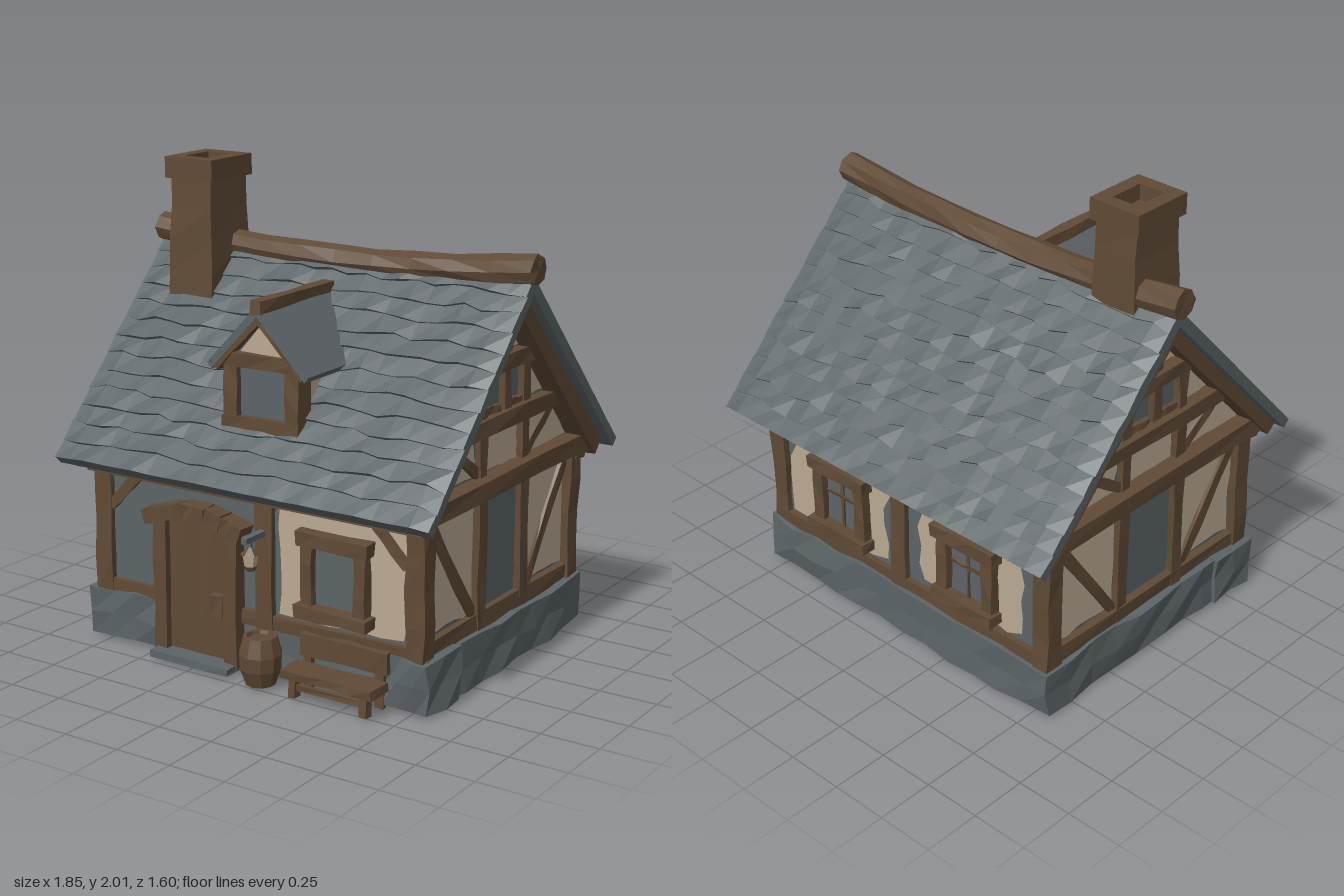
import * as THREE from 'three';

const mat = (name, color) => {
  const m = new THREE.MeshStandardMaterial({ color, flatShading: true });
  m.name = name;
  return m;
};

export function createModel() {
  const stone = mat('slate grey', 0x5c6467);
  const wood = mat('timber brown', 0x604a36);
  const plaster = mat('cream plaster', 0xbcaa94);
  plaster.side = THREE.DoubleSide;

  let seed = 7;
  const rnd = () => (seed = (seed * 16807) % 2147483647) / 2147483647;
  const jit = (a) => (rnd() * 2 - 1) * a;

  const root = new THREE.Group();
  root.name = 'cottage';
  const add = (parent, name, geo, material, x = 0, y = 0, z = 0) => {
    const m = new THREE.Mesh(geo, material);
    m.name = name;
    m.position.set(x, y, z);
    parent.add(m);
    return m;
  };
  const group = (name, parent = root) => {
    const g = new THREE.Group();
    g.name = name;
    parent.add(g);
    return g;
  };

  // Rough-hewn look: coincident corners move together
  const rough = (geo, amount) => {
    const p = geo.attributes.position, seen = new Map();
    for (let i = 0; i < p.count; i++) {
      const k = [p.getX(i), p.getY(i), p.getZ(i)].map((v) => Math.round(v * 1e4)).join();
      if (!seen.has(k)) seen.set(k, [jit(amount), jit(amount), jit(amount)]);
      const d = seen.get(k);
      p.setXYZ(i, p.getX(i) + d[0], p.getY(i) + d[1], p.getZ(i) + d[2]);
    }
    geo.computeVertexNormals();
    return geo;
  };
  // Box given by its extents
  const block = (parent, name, material, x0, x1, y0, y1, z0, z1, amount = 0.004, seg = [1, 1, 1]) =>
    add(parent, name, rough(new THREE.BoxGeometry(x1 - x0, y1 - y0, z1 - z0, ...seg), amount), material,
      (x0 + x1) / 2, (y0 + y1) / 2, (z0 + z1) / 2);
  // Timber lying on a wall from a to b
  const bar = (parent, name, a, b, width, z0, z1) => {
    const dx = b[0] - a[0], dy = b[1] - a[1], len = Math.hypot(dx, dy);
    const geo = rough(new THREE.BoxGeometry(len, width, z1 - z0, 3, 1, 1), 0.005);
    const m = add(parent, name, geo, wood, (a[0] + b[0]) / 2, (a[1] + b[1]) / 2, (z0 + z1) / 2);
    m.rotation.z = Math.atan2(dy, dx);
    return m;
  };
  // Ragged plaster plate that leaves bare wall around its edges
  const panel = (parent, pts, z, ragged = 0.1) => {
    const cx = pts.reduce((s, p) => s + p[0], 0) / pts.length;
    const cy = pts.reduce((s, p) => s + p[1], 0) / pts.length;
    const out = [];
    pts.forEach((p, i) => {
      const q = pts[(i + 1) % pts.length];
      for (let k = 0; k < 5; k++) {
        const s = 1 - rnd() * ragged;
        out.push(new THREE.Vector2(cx + (p[0] + (q[0] - p[0]) * k / 5 - cx) * s, cy + (p[1] + (q[1] - p[1]) * k / 5 - cy) * s));
      }
    });
    add(parent, 'plaster', new THREE.ShapeGeometry(new THREE.Shape(out)), plaster, 0, 0, z);
  };
  const rect = (x0, x1, y0, y1) => [[x0, y0], [x1, y0], [x1, y1], [x0, y1]];
  // Cross-section (z, y) drawn out along x
  const prism = (pts, length) => {
    const s = new THREE.Shape(pts.map((p) => new THREE.Vector2(...p)));
    return new THREE.ExtrudeGeometry(s, { depth: length, bevelEnabled: false }).translate(0, 0, -length / 2);
  };
  const windowAt = (parent, x, z, mullions) => {
    const g = group('window', parent);
    g.position.set(x, 0, z);
    block(g, 'pane', stone, -0.12, 0.12, 0.34, 0.62, 0, 0.012, 0);
    for (const s of [-1, 1]) bar(g, 'windowJamb', [s * 0.125, 0.33], [s * 0.125, 0.62], 0.055, 0, 0.045);
    bar(g, 'windowLintel', [-0.17, 0.63], [0.17, 0.63], 0.06, 0, 0.06);
    bar(g, 'windowSill', [-0.17, 0.33], [0.17, 0.33], 0.05, 0, 0.07);
    if (!mullions) return;
    bar(g, 'mullion', [0, 0.35], [0, 0.61], 0.016, 0, 0.02);
    bar(g, 'mullion', [-0.1, 0.5], [0.1, 0.5], 0.016, 0, 0.02);
  };

  // Foundation and house core
  block(root, 'foundation', stone, -0.825, 0.825, 0, 0.21, -0.655, 0.625, 0.012, [12, 2, 9]);
  for (const [x0, x1] of [[-0.84, -0.5], [0.64, 0.835]])
    block(root, 'cornerStone', stone, x0, x1, 0.005, 0.215, 0.4, 0.645, 0.012, [3, 2, 2]);
  block(root, 'doorStep', stone, -0.46, -0.06, 0, 0.03, 0.6, 0.73, 0.003, [3, 1, 1]);
  const core = prism([[-0.61, 0.1], [0.61, 0.1], [0.61, 0.86], [0, 1.52], [-0.61, 0.86]], 1.54);
  add(root, 'walls', core.rotateY(Math.PI / 2), stone);
  for (const x of [-0.77, 0.77]) for (const z of [-0.595, 0.595])
    block(root, 'cornerPost', wood, x - 0.042, x + 0.042, 0.2, 0.8, z - 0.042, z + 0.042, 0.006, [1, 4, 1]);

  // Long walls: shared sill, wall plate, middle post and corner braces
  const longWall = (name, turn, mid) => {
    const g = group(name);
    g.rotation.y = turn;
    bar(g, 'sillBeam', [-0.77, 0.235], [0.77, 0.235], 0.06, 0.59, 0.635);
    bar(g, 'wallPlate', [-0.82, 0.765], [0.82, 0.765], 0.06, 0.59, 0.665);
    bar(g, 'middlePost', [mid, 0.2], [mid, 0.76], 0.08, 0.59, 0.64);
    return g;
  };
  const front = longWall('frontWall', 0, 0.06);
  for (const s of [-1, 1]) bar(front, 'brace', [s * 0.73, 0.59], [s * 0.57, 0.75], 0.045, 0.6, 0.63);
  panel(front, rect(0.11, 0.73, 0.265, 0.74), 0.615, 0.08);
  windowAt(front, 0.405, 0.615, false);
  const back = longWall('backWall', Math.PI, -0.03);
  for (const s of [-1, 1]) {
    panel(back, rect(s * 0.39 - 0.33, s * 0.39 + 0.31, 0.27, 0.74), 0.615, 0.18);
    windowAt(back, s * 0.37, 0.615, true);
  }

  // Half-timbered gable ends
  for (const side of [-1, 1]) {
    const g = group(side > 0 ? 'leftGable' : 'rightGable');
    g.rotation.y = side * Math.PI / 2;
    const w = 0.76, o = 0.8;
    bar(g, 'sillBeam', [-0.6, 0.245], [0.6, 0.245], 0.07, w, o);
    bar(g, 'tieBeam', [-0.7, 0.81], [0.7, 0.81], 0.08, w, 0.845);
    bar(g, 'collarBeam', [-0.42, 1.05], [0.42, 1.05], 0.07, w, 0.82);
    bar(g, 'upperCollar', [-0.2, 1.285], [0.2, 1.285], 0.065, w, 0.82);
    bar(g, 'kingPost', [0.01, 1.09], [0.01, 1.5], 0.05, w, o);
    for (const s of [-1, 1]) {
      const m = (pts) => pts.map(([x, y]) => [s * x, y]);
      bar(g, 'rafter', [s * 0.71, 0.775], [0, 1.525], 0.085, w, 0.865);
      bar(g, 'post', [s * 0.175, 0.2], [s * 0.175, 0.8], 0.065, w, o);
      bar(g, 'post', [s * 0.17, 0.83], [s * 0.17, 1.28], 0.055, w, o);
      bar(g, 'brace', [s * 0.55, 0.75], [s * 0.21, 0.27], 0.05, w, 0.79);
      bar(g, 'brace', [s * 0.42, 1.02], [s * 0.19, 0.86], 0.045, w, 0.79);
      bar(g, 'windowRail', [s * 0.03, 1.1], [s * 0.15, 1.1], 0.03, w, 0.79);
      panel(g, m(rect(0.2, 0.555, 0.28, 0.77)), 0.774, 0.09);
      panel(g, m([[0.2, 0.85], [0.58, 0.85], [0.45, 1.01], [0.2, 1.01]]), 0.774);
      panel(g, m([[0.2, 1.09], [0.37, 1.09], [0.24, 1.25], [0.2, 1.25]]), 0.774);
      panel(g, m([[0.03, 1.32], [0.17, 1.32], [0.03, 1.47]]), 0.774);
    }
    panel(g, rect(-0.14, 0.14, 0.85, 1.015), 0.774, 0.06);
  }

  // Main roof: slab with stepped shingle courses on both slopes
  const roof = group('roof');
  roof.position.z = -0.012;
  const slab = prism([[0.78, 0.8], [0, 1.63], [-0.78, 0.8], [-0.75, 0.77], [0, 1.56], [0.75, 0.77]], 1.81);
  add(roof, 'roofSlab', slab.rotateY(Math.PI / 2), stone);
  const shingles = () => {
    const rows = 13, cols = 22, lines = [];
    const line = (t, h, wob) => lines.push(Array.from({ length: cols + 1 }, (_, c) => {
      const edge = c === 0 || c === cols;
      const tt = t + (wob ? wob[c] : 0), hh = edge ? 0 : h * (0.5 + rnd());
      return [-0.908 + 1.816 * c / cols + (edge ? jit(0.005) : 0), 0.8 + 0.83 * tt + 0.685 * hh, 0.78 * (1 - tt) + 0.728 * hh];
    }));
    line(0, 0);
    let wob = null;
    for (let r = 0; r < rows; r++) {
      line(r / rows, 0.014, wob);
      wob = r < rows - 1 ? Array.from({ length: cols + 1 }, () => jit(0.012)) : null;
      line((r + 1) / rows, 0.003, wob);
    }
    const pos = [];
    for (let r = 0; r < lines.length - 1; r++) for (let c = 0; c < cols; c++) {
      const a = lines[r][c], b = lines[r][c + 1], d = lines[r + 1][c], e = lines[r + 1][c + 1];
      pos.push(...a, ...b, ...e, ...a, ...e, ...d);
    }
    const geo = new THREE.BufferGeometry();
    geo.setAttribute('position', new THREE.Float32BufferAttribute(pos, 3));
    geo.computeVertexNormals();
    return geo;
  };
  for (const turn of [0, Math.PI]) add(roof, 'shingles', shingles(), stone).rotation.y = turn;
  // Sagging ridge beam
  const ridge = new THREE.CylinderGeometry(0.062, 0.062, 1.84, 8, 10).rotateX(0).rotateZ(Math.PI / 2);
  const rp = ridge.attributes.position;
  for (let i = 0; i < rp.count; i++) rp.setY(i, rp.getY(i) + 0.055 * (rp.getX(i) / 0.92) ** 2);
  add(roof, 'ridgeBeam', rough(ridge, 0.005), wood, 0, 1.606, 0);

  // Chimney with hollow cap
  const chimney = group('chimney');
  chimney.position.set(-0.625, 0, 0.055);
  const stack = new THREE.CylinderGeometry(0.5, 0.5, 0.56, 4, 4).rotateY(Math.PI / 4);
  const sp = stack.attributes.position;
  for (let i = 0; i < sp.count; i++) {
    const k = 1 - 0.25 * (sp.getY(i) + 0.28);
    sp.setXYZ(i, sp.getX(i) * 0.325 * k, sp.getY(i), sp.getZ(i) * 0.405 * k);
  }
  add(chimney, 'chimneyStack', rough(stack, 0.004), wood, 0, 1.65, 0);
  const cap = new THREE.Shape(rect(-0.122, 0.122, -0.142, 0.142).map((p) => new THREE.Vector2(...p)));
  cap.holes.push(new THREE.Path(rect(-0.06, 0.06, -0.08, 0.08).reverse().map((p) => new THREE.Vector2(...p))));
  add(chimney, 'chimneyCap', new THREE.ExtrudeGeometry(cap, { depth: 0.09, bevelEnabled: false }).rotateX(-Math.PI / 2), wood, 0, 1.91, 0);

  // Dormer
  const dormer = group('dormer');
  dormer.position.x = 0.015;
  const body = prism([[-0.16, 1], [0.16, 1], [0.16, 1.3], [0, 1.47], [-0.16, 1.3]], 0.45);
  add(dormer, 'dormerWalls', body, stone, 0, 0, 0.33);
  const dormerRoof = prism([[0.245, 1.265], [0, 1.52], [-0.245, 1.265], [-0.225, 1.24], [0, 1.475], [0.225, 1.24]], 0.52);
  add(dormer, 'dormerRoof', dormerRoof, stone, 0, 0, 0.345);
  bar(dormer, 'dormerSill', [-0.185, 1.025], [0.185, 1.025], 0.06, 0.5, 0.59);
  bar(dormer, 'dormerHead', [-0.19, 1.29], [0.19, 1.29], 0.055, 0.5, 0.59);
  block(dormer, 'dormerRidge', wood, -0.025, 0.025, 1.49, 1.54, 0.1, 0.615, 0.004, [1, 1, 4]);
  for (const s of [-1, 1]) {
    bar(dormer, 'dormerPost', [s * 0.15, 1], [s * 0.15, 1.28], 0.065, 0.5, 0.585);
    bar(dormer, 'dormerRafter', [s * 0.215, 1.255], [0, 1.48], 0.05, 0.54, 0.602);
    const cheek = group('dormerCheek', dormer);
    cheek.rotation.y = s * Math.PI / 2;
    panel(cheek, [[-s * 0.5, 1.07], [-s * 0.5, 1.25], [-s * 0.36, 1.25]], 0.163, 0.05);
  }
  panel(dormer, [[-0.12, 1.31], [0.12, 1.31], [0, 1.45]], 0.56, 0.04);

  // Door with arched head
  const door = group('door');
  block(door, 'doorLeaf', wood, -0.42, -0.1, 0.03, 0.6, 0.6, 0.645, 0.002, [4, 1, 1]);
  for (const x of [-0.44, -0.085]) bar(door, 'doorJamb', [x, 0.02], [x, 0.6], 0.065, 0.6, 0.675);
  const arch = [[-0.51, 0.59], [-0.4, 0.625], [-0.32, 0.645], [-0.2, 0.645], [-0.12, 0.625], [-0.02, 0.59]];
  for (let i = 0; i < 5; i++) bar(door, 'doorHead', arch[i], arch[i + 1], 0.065, 0.6, 0.69);
  block(door, 'doorLock', wood, -0.18, -0.12, 0.22, 0.31, 0.64, 0.675, 0.006);

  // Hanging lantern
  const lantern = group('lantern');
  lantern.position.set(0.06, 0, 0.725);
  block(lantern, 'bracket', stone, -0.012, 0.012, 0.595, 0.62, -0.1, 0.04);
  block(lantern, 'hook', stone, -0.006, 0.006, 0.56, 0.6, -0.006, 0.006, 0);
  add(lantern, 'lanternTop', new THREE.CylinderGeometry(0.01, 0.042, 0.03, 6), wood, 0, 0.56, 0);
  add(lantern, 'lanternGlass', new THREE.CylinderGeometry(0.032, 0.024, 0.05, 6), plaster, 0, 0.52, 0);
  add(lantern, 'lanternBase', new THREE.CylinderGeometry(0.028, 0.018, 0.02, 6), wood, 0, 0.487, 0);

  // Barrel and bench
  const stave = [[0, 0], [0.062, 0], [0.087, 0.07], [0.09, 0.13], [0.07, 0.205], [0.055, 0.205], [0.05, 0.19], [0, 0.19]];
  add(root, 'barrel', new THREE.LatheGeometry(stave.map((p) => new THREE.Vector2(...p)), 10), wood, 0.09, 0, 0.705);
  const bench = group('bench');
  block(bench, 'benchSeat', wood, 0.24, 0.665, 0.085, 0.115, 0.655, 0.785, 0.005, [4, 1, 1]);
  block(bench, 'benchBack', wood, 0.255, 0.66, 0.145, 0.235, 0.635, 0.665, 0.006, [4, 1, 1]);
  for (const x of [0.285, 0.62]) {
    block(bench, 'benchBackPost', wood, x - 0.02, x + 0.02, 0, 0.21, 0.63, 0.66);
    block(bench, 'benchLeg', wood, x - 0.018, x + 0.018, 0, 0.09, 0.735, 0.77);
  }
  block(bench, 'benchRail', wood, 0.285, 0.62, 0.035, 0.06, 0.74, 0.76);
  return root;
}
